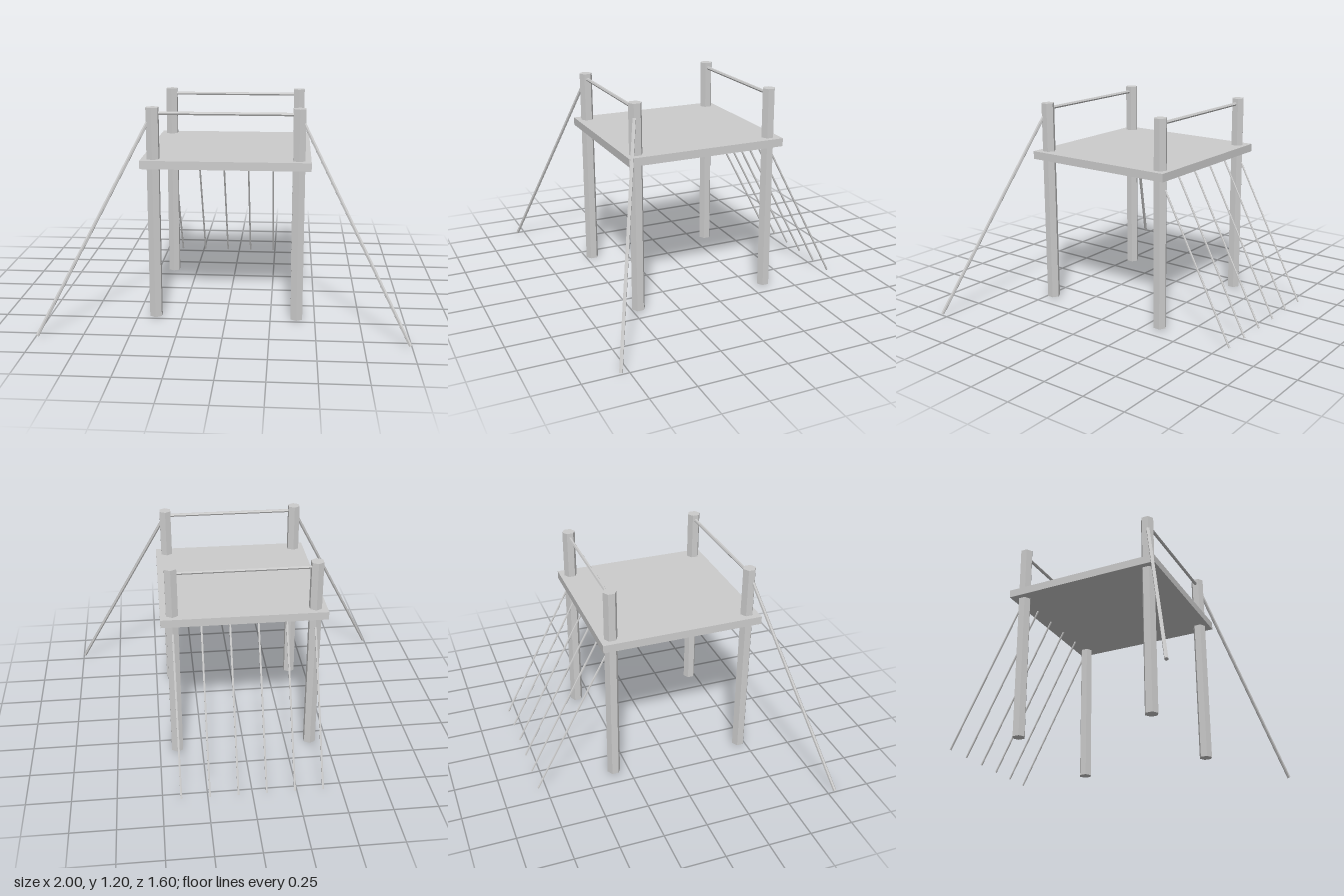
import * as THREE from 'three';

export function createModel() {
  const group = new THREE.Group();
  const grey = new THREE.MeshStandardMaterial({ color: 0xcccccc, flatShading: true });
  grey.name = 'plain grey';

  const postX = 0.397, frontZ = 0.462, backZ = -0.338;

  // Straight six-sided bar between two points
  function bar(name, from, to, radius) {
    const a = new THREE.Vector3(...from), b = new THREE.Vector3(...to);
    const dir = b.clone().sub(a);
    const mesh = new THREE.Mesh(new THREE.CylinderGeometry(radius, radius, dir.length(), 6), grey);
    mesh.position.copy(a).add(b).multiplyScalar(0.5);
    mesh.quaternion.setFromUnitVectors(new THREE.Vector3(0, 1, 0), dir.normalize());
    mesh.name = name;
    group.add(mesh);
  }

  // Deck
  const deck = new THREE.Mesh(new THREE.BoxGeometry(0.926, 0.046, 0.926), grey);
  deck.position.set(0, 0.892, 0.062);
  deck.name = 'deck';
  group.add(deck);

  // Corner posts and the rails joining them, front and back
  for (const [side, z] of [['front', frontZ], ['back', backZ]]) {
    bar(side + 'RightPost', [-postX, 0.007, z], [-postX, 1.197, z], 0.038);
    bar(side + 'LeftPost', [postX, 0.007, z], [postX, 1.197, z], 0.038);
    bar(side + 'Rail', [-postX, 1.165, z], [postX, 1.165, z], 0.01);
  }

  // Guy lines splayed from the front posts to the ground
  for (const s of [-1, 1]) {
    bar(s < 0 ? 'rightGuyLine' : 'leftGuyLine', [s * postX, 1.167, frontZ], [s * 0.992, 0.005, 0.794], 0.01);
  }

  // Row of sloping ropes behind the deck
  for (let i = 0; i < 6; i++) {
    const x = -postX + (i * 2 * postX) / 5;
    bar('backRope' + (i + 1), [x, 0.87, backZ], [x, 0.004, -0.794], 0.006);
  }

  return group;
}
